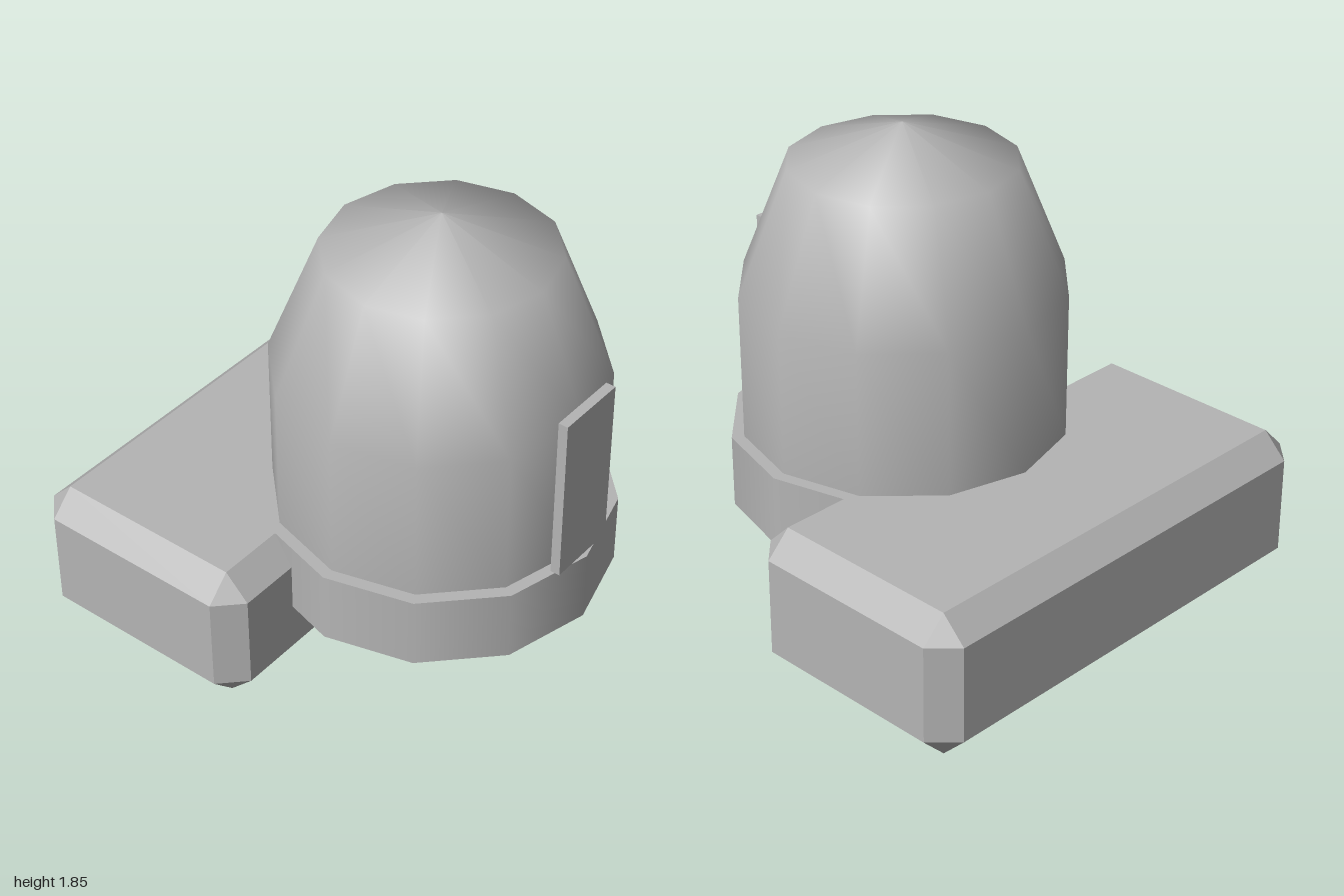
import * as THREE from 'three';
import { ConvexGeometry } from 'three/addons/geometries/ConvexGeometry.js';

// Box with every edge and corner cut off by the same bevel
function chamferedBox(w, h, d, c) {
  const half = [w / 2, h / 2, d / 2];
  const points = [];
  for (const sx of [-1, 1]) for (const sy of [-1, 1]) for (const sz of [-1, 1]) {
    for (let axis = 0; axis < 3; axis++) {
      const [x, y, z] = half.map((v, i) => (i === axis ? v : v - c));
      points.push(new THREE.Vector3(sx * x, sy * y, sz * z));
    }
  }
  return new ConvexGeometry(points);
}

export function createModel() {
  const group = new THREE.Group();
  const grey = new THREE.MeshStandardMaterial({ color: 0xb4b4b4 });
  grey.name = 'plain grey';

  function add(name, geometry, x, y, z) {
    const mesh = new THREE.Mesh(geometry, grey);
    mesh.name = name;
    mesh.position.set(x, y, z);
    group.add(mesh);
  }

  const sides = 12;
  const towerZ = 0.25;

  // Bevelled block at the back
  add('base', chamferedBox(2, 0.6, 1, 0.1), 0, 0.3, -0.45);

  // Round collar under the dome
  add('collar', new THREE.CylinderGeometry(0.7, 0.7, 0.3, sides), 0, 0.45, towerZ);

  // Smooth dome with a shallow pointed cap
  const profile = [[0.65, 0.6], [0.65, 1.2], [0.45, 1.7], [0, 1.85]]
    .map(([r, y]) => new THREE.Vector2(r, y));
  add('dome', new THREE.LatheGeometry(profile, sides), 0, 0, towerZ);

  // Upright panel on the front
  add('frontPanel', new THREE.BoxGeometry(0.3, 0.7, 0.04), 0, 0.95, 0.91);

  return group;
}
